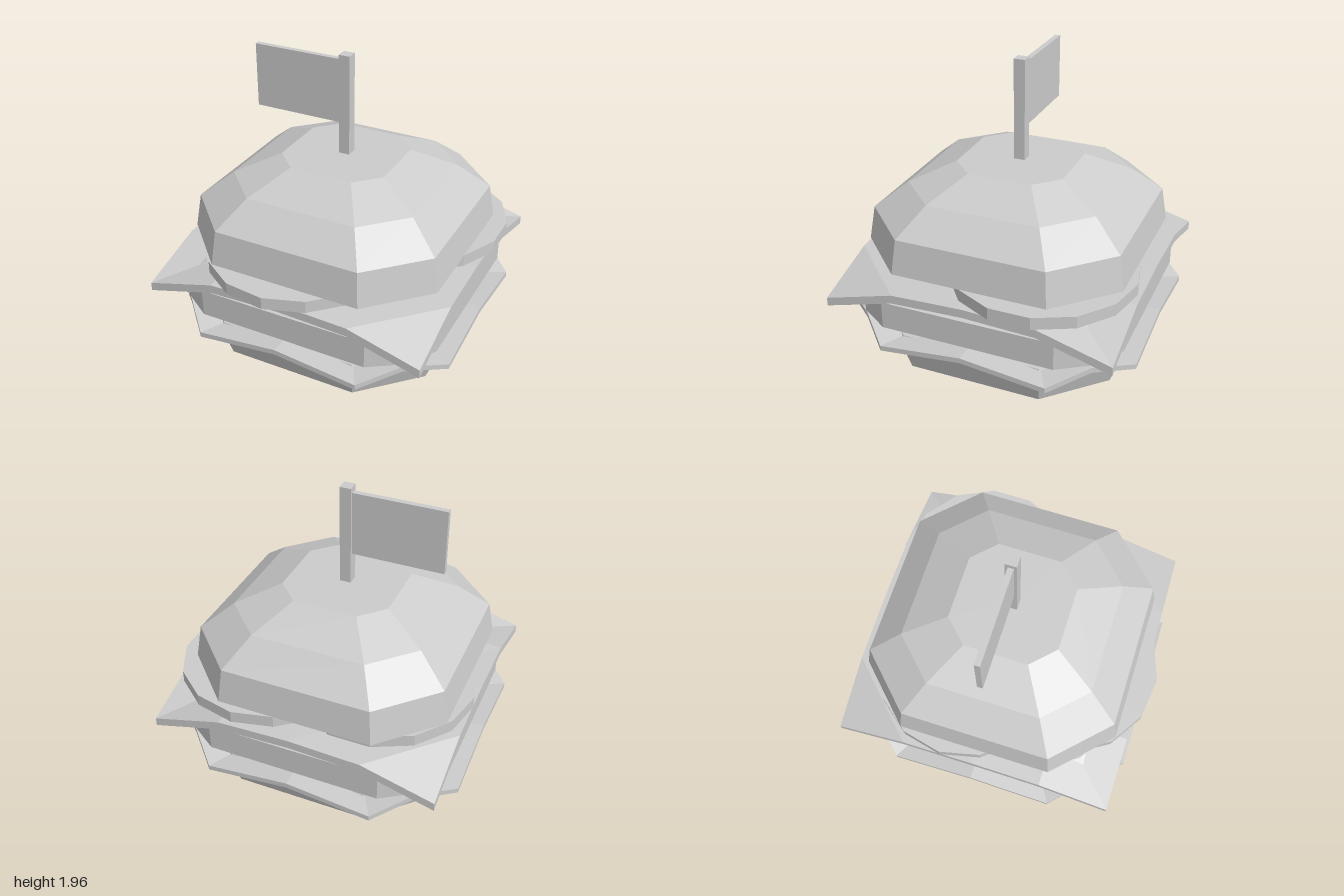
import * as THREE from 'three';

const mat = new THREE.MeshStandardMaterial({ color: 0xcccccc, flatShading: true });
const Z0 = -0.02; // depth of the stack's axis

// Closed solid through a stack of rings (bottom to top), capped at both ends
function loft(rings) {
  const pos = [];
  const tri = (...pts) => pts.forEach((p) => pos.push(p.x, p.y, p.z));
  const centre = (ring) =>
    ring.reduce((s, p) => s.add(p), new THREE.Vector3()).divideScalar(ring.length);
  const n = rings[0].length;
  const low = rings[0], high = rings[rings.length - 1];
  const cLow = centre(low), cHigh = centre(high);
  for (let i = 0; i < n; i++) {
    const j = (i + 1) % n;
    for (let k = 0; k + 1 < rings.length; k++) {
      const a = rings[k], b = rings[k + 1];
      tri(a[i], b[i], a[j]);
      tri(a[j], b[i], b[j]);
    }
    tri(cLow, low[i], low[j]);
    tri(cHigh, high[j], high[i]);
  }
  const g = new THREE.BufferGeometry();
  g.setAttribute('position', new THREE.Float32BufferAttribute(pos, 3));
  g.computeVertexNormals();
  return g;
}

// Repeats the corner points of the +x side around all four sides
function fourSided(corner, y) {
  const ring = [];
  for (let q = 0; q < 4; q++) {
    for (const [x, z, dy = 0] of corner) {
      const c = [1, 0, -1, 0][q], s = [0, 1, 0, -1][q];
      ring.push(new THREE.Vector3(x * c - z * s, y + dy, x * s + z * c));
    }
  }
  return ring;
}

const octagon = (half, cut, y) => fourSided([[half, -cut], [half, cut]], y);

export function createModel() {
  const model = new THREE.Group();
  model.name = 'burger';

  function add(name, geometry, x = 0, y = 0, z = Z0) {
    const mesh = new THREE.Mesh(geometry, mat);
    mesh.name = name;
    mesh.position.set(x, y, z);
    model.add(mesh);
    return mesh;
  }

  // Buns
  add('bottomBun', loft([
    octagon(0.61, 0.36, 0),
    octagon(0.79, 0.44, 0.06),
    octagon(0.86, 0.47, 0.28),
    octagon(0.84, 0.46, 0.33),
  ]));
  add('topBun', loft([
    octagon(0.86, 0.505, 0.78),
    octagon(0.825, 0.485, 1.005),
    octagon(0.63, 0.37, 1.17),
    octagon(0.36, 0.21, 1.295),
  ]));

  // Wavy lettuce: corners low, middles of the sides high
  const leaf = [[0.98, -0.55, 0], [0.98, 0, 0.06], [0.98, 0.55, 0], [0.765, 0.765, 0.06]];
  add('lettuce', loft([fourSided(leaf, 0.28), fourSided(leaf, 0.315)]));

  // Patty: rounded square with bevelled rims
  const pattyRing = (s, y) =>
    fourSided([[0.9 * s, -0.57 * s], [0.9 * s, 0.57 * s], [0.77 * s, 0.77 * s]], y);
  add('patty', loft([
    pattyRing(0.88, 0.34), pattyRing(1, 0.4), pattyRing(1, 0.585), pattyRing(0.88, 0.645),
  ]));

  // Cheese slice with drooping corners
  const cheese = new THREE.BoxGeometry(1.88, 0.057, 1.88, 4, 1, 4);
  const p = cheese.attributes.position;
  for (let i = 0; i < p.count; i++) {
    const x = Math.abs(p.getX(i)) / 0.94, z = Math.abs(p.getZ(i)) / 0.94;
    const near = Math.min(x, z), far = Math.max(x, z);
    const droop = far < 0.9 ? 0 : near > 0.9 ? 0.15 : near > 0.4 ? 0.018 : 0;
    p.setY(i, p.getY(i) - droop);
  }
  cheese.computeVertexNormals();
  add('cheese', cheese, 0, 0.6715);

  // Three overlapping tomato slices
  const slice = new THREE.CylinderGeometry(0.6, 0.6, 0.08, 14);
  for (const [x, z, turn] of [[0.39, -0.34, 0], [-0.345, -0.23, Math.PI / 14], [-0.11, 0.405, 0.1]]) {
    add('tomatoSlice', slice, x, 0.74, z).rotation.y = turn;
  }

  // Flag on a square pick
  add('flagPole', new THREE.BoxGeometry(0.074, 0.76, 0.074), 0, 1.58);
  add('flag', new THREE.BoxGeometry(0.61, 0.425, 0.036), -0.335, 1.7125);

  return model;
}
